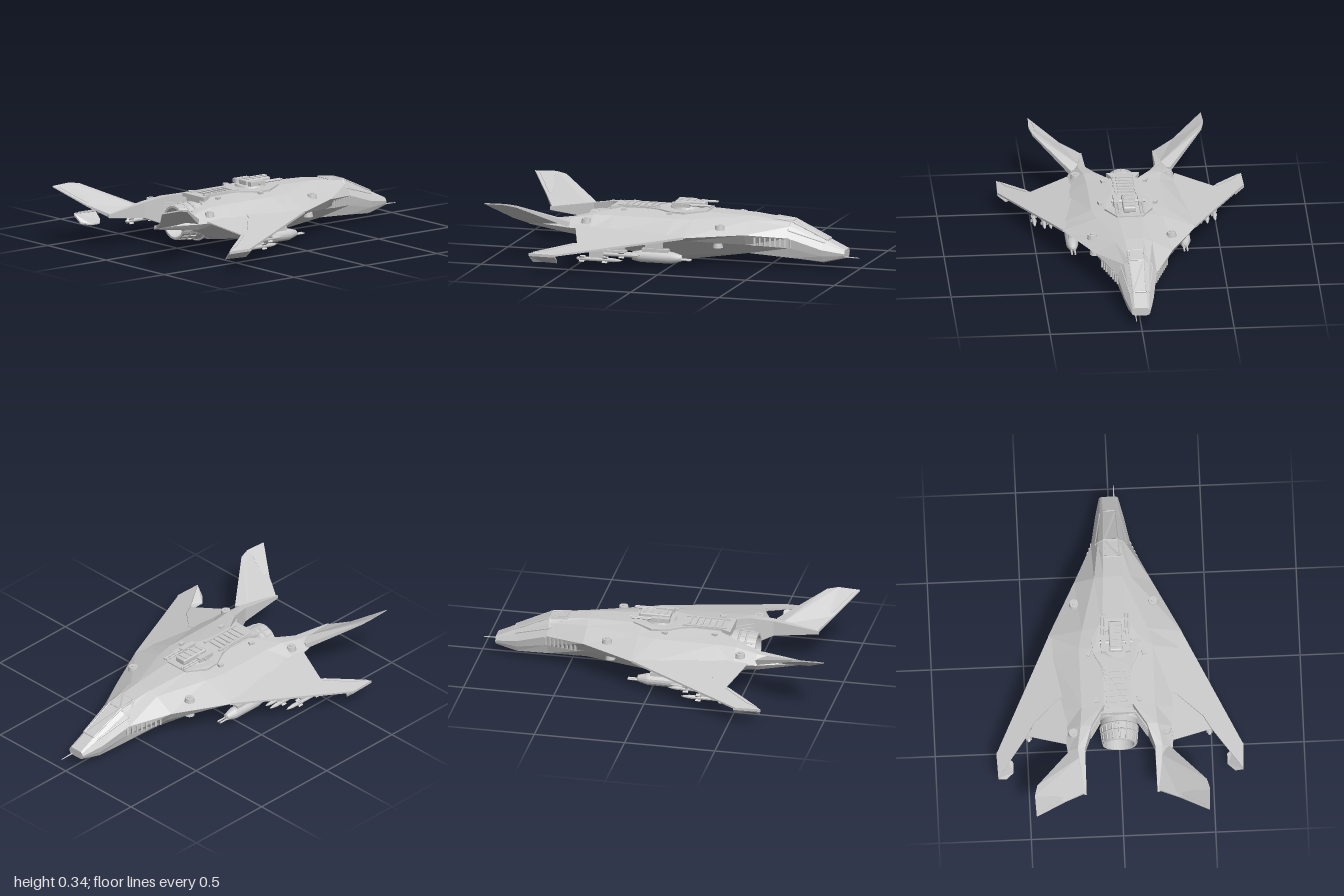
import * as THREE from 'three';
import { RoundedBoxGeometry } from 'three/addons/geometries/RoundedBoxGeometry.js';

const flat = new THREE.MeshStandardMaterial({ color: 0xcccccc, flatShading: true, side: THREE.DoubleSide });
const smooth = new THREE.MeshStandardMaterial({ color: 0xcccccc, side: THREE.DoubleSide });

function geometryFrom(triangles) {
  const g = new THREE.BufferGeometry();
  g.setAttribute('position', new THREE.Float32BufferAttribute(triangles.flat(2), 3));
  g.computeVertexNormals();
  return g;
}

// Skin a series of closed rings (ordered along +z) and cap both ends
function loft(rings) {
  const tris = [], n = rings[0].length, last = rings.at(-1);
  for (let i = 0; i < rings.length - 1; i++)
    for (let j = 0; j < n; j++) {
      const k = (j + 1) % n, a = rings[i][j], b = rings[i][k], c = rings[i + 1][k], d = rings[i + 1][j];
      tris.push([a, c, b], [a, d, c]);
    }
  for (let j = 1; j < n - 1; j++) {
    tris.push([rings[0][0], rings[0][j], rings[0][j + 1]]);
    tris.push([last[0], last[j + 1], last[j]]);
  }
  return geometryFrom(tris);
}

// Plate whose corners are [x, top y, z, thickness]
function plate(corners) {
  const outline = corners.map(p => new THREE.Vector2(p[0], -p[2]));
  if (THREE.ShapeUtils.isClockWise(outline)) return plate([...corners].reverse());
  const up = corners.map(([x, y, z]) => [x, y, z]);
  const down = corners.map(([x, y, z, t]) => [x, y - t, z]);
  const tris = [];
  for (const [a, b, c] of THREE.ShapeUtils.triangulateShape(outline, []))
    tris.push([up[a], up[b], up[c]], [down[a], down[c], down[b]]);
  corners.forEach((_, i) => {
    const j = (i + 1) % corners.length;
    tris.push([down[i], down[j], up[j]], [down[i], up[j], up[i]]);
  });
  return geometryFrom(tris);
}

// Round bar between two points
function bar(a, b, r, r2 = r, sides = 10) {
  const p = new THREE.Vector3(...a), q = new THREE.Vector3(...b), d = q.clone().sub(p);
  const g = new THREE.CylinderGeometry(r2, r, d.length(), sides);
  g.applyQuaternion(new THREE.Quaternion().setFromUnitVectors(new THREE.Vector3(0, 1, 0), d.normalize()));
  return g.translate(...p.add(q).multiplyScalar(0.5).toArray());
}

const box = (w, h, d, x, y, z, ry = 0) => new THREE.BoxGeometry(w, h, d).rotateY(ry).translate(x, y, z);

// Body of revolution along z, profile points [radius, z]
const turned = (profile, x, y, sides = 16) =>
  new THREE.LatheGeometry(profile.map(([r, z]) => new THREE.Vector2(r, z)), sides).rotateX(Math.PI / 2).translate(x, y, 0);

function mirrored(g) {
  const m = (g.index ? g.toNonIndexed() : g.clone()).scale(-1, 1, 1);
  for (const attribute of Object.values(m.attributes)) {
    const s = attribute.itemSize, a = attribute.array;
    for (let i = 0; i < a.length; i += 3 * s)
      for (let k = 0; k < s; k++) [a[i + s + k], a[i + 2 * s + k]] = [a[i + 2 * s + k], a[i + s + k]];
  }
  m.computeVertexNormals();
  return m;
}

export function createModel() {
  const model = new THREE.Group();
  const add = (name, g, material = flat) => {
    const m = new THREE.Mesh(g, material);
    m.name = name;
    model.add(m);
  };
  const pair = (name, g, material = flat) => {
    add(name + 'Left', g, material);
    add(name + 'Right', mirrored(g), material);
  };

  // Faceted hull: half sections from the top edge round the chine to the keel
  const hull = [
    [-0.92, [0.035, 0.105], [0.045, 0.098], [0.052, 0.085], [0.05, 0.075], [0.045, 0.065], [0.03, 0.06]],
    [-0.8, [0.035, 0.162], [0.055, 0.145], [0.078, 0.105], [0.072, 0.07], [0.06, 0.04], [0.035, 0.03]],
    [-0.62, [0.042, 0.247], [0.07, 0.225], [0.108, 0.165], [0.1, 0.11], [0.085, 0.055], [0.04, 0.047]],
    [-0.4, [0.05, 0.27], [0.1, 0.252], [0.21, 0.19], [0.17, 0.13], [0.12, 0.075], [0.06, 0.066]],
    [-0.1, [0.07, 0.28], [0.18, 0.255], [0.362, 0.185], [0.26, 0.15], [0.16, 0.055], [0.065, 0.02]],
    [0, [0.07, 0.28], [0.2, 0.255], [0.355, 0.187], [0.26, 0.15], [0.15, 0.04], [0.065, 0.004]],
    [0.34, [0.08, 0.275], [0.2, 0.255], [0.315, 0.19], [0.26, 0.15], [0.16, 0.065], [0.075, 0.045]],
  ];
  add('fuselage', loft(hull.map(([z, ...half]) => [
    ...half.map(([x, y]) => [x, y, z]),
    ...half.map(([x, y]) => [-x, y, z]).reverse(),
  ])));

  // Tail booms either side of the engine
  const boom = [
    [0.34, [0.08, 0.275], [0.2, 0.255], [0.315, 0.19], [0.26, 0.15], [0.16, 0.065], [0.08, 0.045]],
    [0.45, [0.15, 0.262], [0.21, 0.255], [0.3, 0.19], [0.26, 0.15], [0.19, 0.1], [0.15, 0.1]],
    [0.57, [0.19, 0.237], [0.23, 0.235], [0.285, 0.19], [0.26, 0.155], [0.21, 0.145], [0.19, 0.15]],
    [0.82, [0.192, 0.2], [0.2, 0.2], [0.21, 0.195], [0.205, 0.185], [0.195, 0.18], [0.192, 0.182]],
  ];
  pair('tailBoom', loft(boom.map(([z, ...ring]) => ring.map(([x, y]) => [x, y, z]))));

  // Wings, flaps and drooped tips
  const wing = (x, z, t, lift = 0) => [x, 0.275 - 0.24 * x + lift, z, t];
  pair('wing', plate([wing(0.36, -0.1, 0.012), wing(0.67, 0.54, 0.01), wing(0.665, 0.68, 0.006), wing(0.5, 0.455, 0.012),
    wing(0.46, 0.386, 0.02), wing(0.32, 0.265, 0.035), wing(0.28, 0.25, 0.05), wing(0.28, -0.02, 0.03)]));
  pair('flap', plate([wing(0.318, 0.265, 0.028, -0.003), wing(0.458, 0.388, 0.016, -0.003), wing(0.498, 0.457, 0.006, -0.003),
    wing(0.29, 0.53, 0.006, -0.003), wing(0.27, 0.3, 0.03, -0.003)]));
  pair('aileron', plate([wing(0.515, 0.455, 0.004, 0.003), wing(0.62, 0.59, 0.004, 0.003),
    wing(0.65, 0.66, 0.004, 0.003), wing(0.51, 0.47, 0.004, 0.003)]));
  pair('wingTip', plate([[0.67, 0.112, 0.53, 0.012], [0.665, 0.112, 0.68, 0.012], [0.62, 0.07, 0.67, 0.01],
    [0.58, 0.06, 0.63, 0.006], [0.58, 0.06, 0.57, 0.006], [0.625, 0.07, 0.53, 0.01]]));

  // Canted tail fins with rudders
  const fin = (x, z, t, lift = 0) => [x, 0.205 + 0.6 * (x - 0.25) + lift, z, t];
  pair('tailFin', plate([fin(0.27, 0.57, 0.03), fin(0.46, 0.81, 0.012), fin(0.475, 0.87, 0.008), fin(0.47, 0.99, 0.006),
    fin(0.31, 0.875, 0.01), [0.195, 0.2, 0.81, 0.02], [0.2, 0.215, 0.6, 0.04]]));
  pair('rudder', plate([fin(0.33, 0.87, 0.004, 0.003), fin(0.31, 0.84, 0.004, 0.003),
    fin(0.44, 0.87, 0.004, 0.003), fin(0.455, 0.96, 0.004, 0.003)]));

  // Canopy glass and frame
  add('canopyTop', plate([[-0.03, 0.156, -0.82, 0.01], [0.03, 0.156, -0.82, 0.01], [0.04, 0.25, -0.62, 0.01],
    [0.035, 0.262, -0.52, 0.01], [-0.035, 0.262, -0.52, 0.01], [-0.04, 0.25, -0.62, 0.01]]));
  const rail = [[0.034, 0.155, -0.82], [0.042, 0.248, -0.62], [0.045, 0.259, -0.52]];
  const sill = [[0.052, 0.142, -0.81], [0.085, 0.205, -0.61], [0.045, 0.259, -0.52]];
  for (const edge of [rail, sill])
    for (let i = 0; i < 2; i++) pair('canopyFrame', bar(edge[i], edge[i + 1], 0.005, 0.005, 6));
  pair('canopyPillar', bar(rail[1], sill[1], 0.005, 0.005, 6));
  rail.forEach(([x, y, z]) => add('canopyArch', bar([-x, y, z], [x, y, z], 0.005, 0.005, 6)));
  add('noseProbe', bar([0.03, 0.067, -0.9], [0.03, 0.064, -1], 0.005, 0.002, 8), smooth);

  // Cheek grille
  for (let i = 0; i < 8; i++) {
    const t = i / 7;
    pair('cheekSlat', box(0.012, 0.045, 0.01, 0.105 + 0.07 * t, 0.137 + 0.015 * t, -0.63 + 0.18 * t, 0.4));
  }

  // Raised spine with turret deck
  const deck = [[0.07, -0.15], [0.13, -0.04], [0.125, 0.04], [0.085, 0.12], [0.065, 0.2], [0.065, 0.33], [0.09, 0.39]];
  add('spineDeck', plate([...deck, ...deck.map(([x, z]) => [-x, z]).reverse()]
    .map(([x, z]) => [x, 0.285 - 0.1 * Math.max(0, Math.abs(x) - 0.07), z, 0.02])));
  pair('spineRail', box(0.012, 0.012, 0.24, 0.055, 0.284, 0.24));
  for (let i = 0; i < 6; i++) add('spineRib', box(0.09, 0.008, 0.012, 0, 0.286, 0.15 + i * 0.035));

  // Turret with twin guns
  add('turretRing', new THREE.CylinderGeometry(0.08, 0.085, 0.012, 24).translate(0, 0.291, -0.01));
  add('turretBody', new RoundedBoxGeometry(0.07, 0.032, 0.17, 2, 0.008).translate(0, 0.308, -0.04), smooth);
  add('turretAxle', bar([-0.09, 0.307, -0.01], [0.09, 0.307, -0.01], 0.008));
  pair('gunBreech', box(0.028, 0.024, 0.1, 0.066, 0.308, 0));
  for (const x of [0.058, 0.074]) pair('gunBarrel', bar([x, 0.31, -0.04], [x, 0.31, -0.17], 0.005));
  for (let i = 0; i < 4; i++) add('turretRib', box(0.055, 0.008, 0.012, 0, 0.324, -0.1 + i * 0.04));

  // Engine
  const cy = 0.148;
  add('engineNozzle', turned([[0.105, 0.3], [0.115, 0.37], [0.1, 0.39], [0.1, 0.43], [0.092, 0.525], [0.08, 0.525],
    [0.072, 0.44], [0.035, 0.44], [0.025, 0.47], [0, 0.485]], 0, cy, 32));
  for (const [r, z] of [[0.112, 0.375], [0.101, 0.43], [0.096, 0.47]])
    add('nozzleRing', new THREE.TorusGeometry(r, 0.006, 6, 32).translate(0, cy, z), smooth);
  for (let i = 0; i < 16; i++) {
    const a = (i / 16) * Math.PI * 2, c = Math.cos(a), s = Math.sin(a);
    add('nozzlePetal', bar([0.1 * c, cy + 0.1 * s, 0.43], [0.092 * c, cy + 0.092 * s, 0.52], 0.006, 0.004, 5));
    add('nozzleVane', bar([0.03 * c, cy + 0.03 * s, 0.445], [0.07 * c, cy + 0.07 * s, 0.445], 0.003, 0.003, 4));
  }
  add('engineCowl', box(0.11, 0.03, 0.06, 0, 0.262, 0.36));
  for (let i = 0; i < 7; i++) pair('exhaustLouvre', box(0.012, 0.008, 0.13, 0.125, 0.11 + i * 0.019, 0.415, 0.56));

  // Manoeuvring thrusters above and below
  for (const [x, y, z] of [[0.215, 0.226, -0.265], [0.25, 0.228, 0.48], [0.2, 0.125, -0.25]]) {
    pair('thruster', new THREE.CylinderGeometry(0.024, 0.028, 0.025, 16).translate(x, y, z));
    pair('thrusterCap', new THREE.CylinderGeometry(0.011, 0.011, 0.034, 8).translate(x, y, z));
  }
  for (const [x, z] of [[0.15, 0.04], [0.115, 0.31]]) pair('deckFitting', box(0.02, 0.012, 0.03, x, 0.274, z, 0.3));

  // Gun pods and missiles under the wings
  pair('gunPodPylon', box(0.014, 0.075, 0.1, 0.305, 0.12, 0.08));
  pair('gunPod', turned([[0, -0.08], [0.018, -0.075], [0.033, -0.02], [0.033, 0.15], [0.024, 0.2], [0, 0.205]], 0.305, 0.062), smooth);
  pair('gunPodCase', box(0.035, 0.045, 0.15, 0.305, 0.085, 0.07));
  for (const dx of [-0.009, 0.009]) pair('podBarrel', bar([0.305 + dx, 0.055, -0.05], [0.305 + dx, 0.055, -0.13], 0.005));
  const missile = (x, y, z, r, pylonTop) => {
    pair('missile', turned([[0, z], [r * 0.6, z + 0.02], [r, z + 0.05], [r, z + 0.25], [r * 0.6, z + 0.26], [0, z + 0.26]], x, y, 10), smooth);
    for (const a of [Math.PI / 4, -Math.PI / 4])
      for (const dz of [0.1, 0.23])
        pair('missileFin', new THREE.BoxGeometry(r * 4, 0.002, 0.03).rotateZ(a).translate(x, y, z + dz));
    pair('missilePylon', box(0.008, pylonTop - y, 0.08, x, (pylonTop + y) / 2, z + 0.15));
  };
  missile(0.408, 0.09, 0.12, 0.011, 0.105);
  missile(0.442, 0.09, 0.12, 0.011, 0.105);
  pair('missileRack', box(0.045, 0.01, 0.12, 0.425, 0.107, 0.26));
  pair('rackPylon', box(0.01, 0.06, 0.1, 0.425, 0.135, 0.26));
  missile(0.49, 0.068, 0.2, 0.011, 0.15);

  return model;
}
